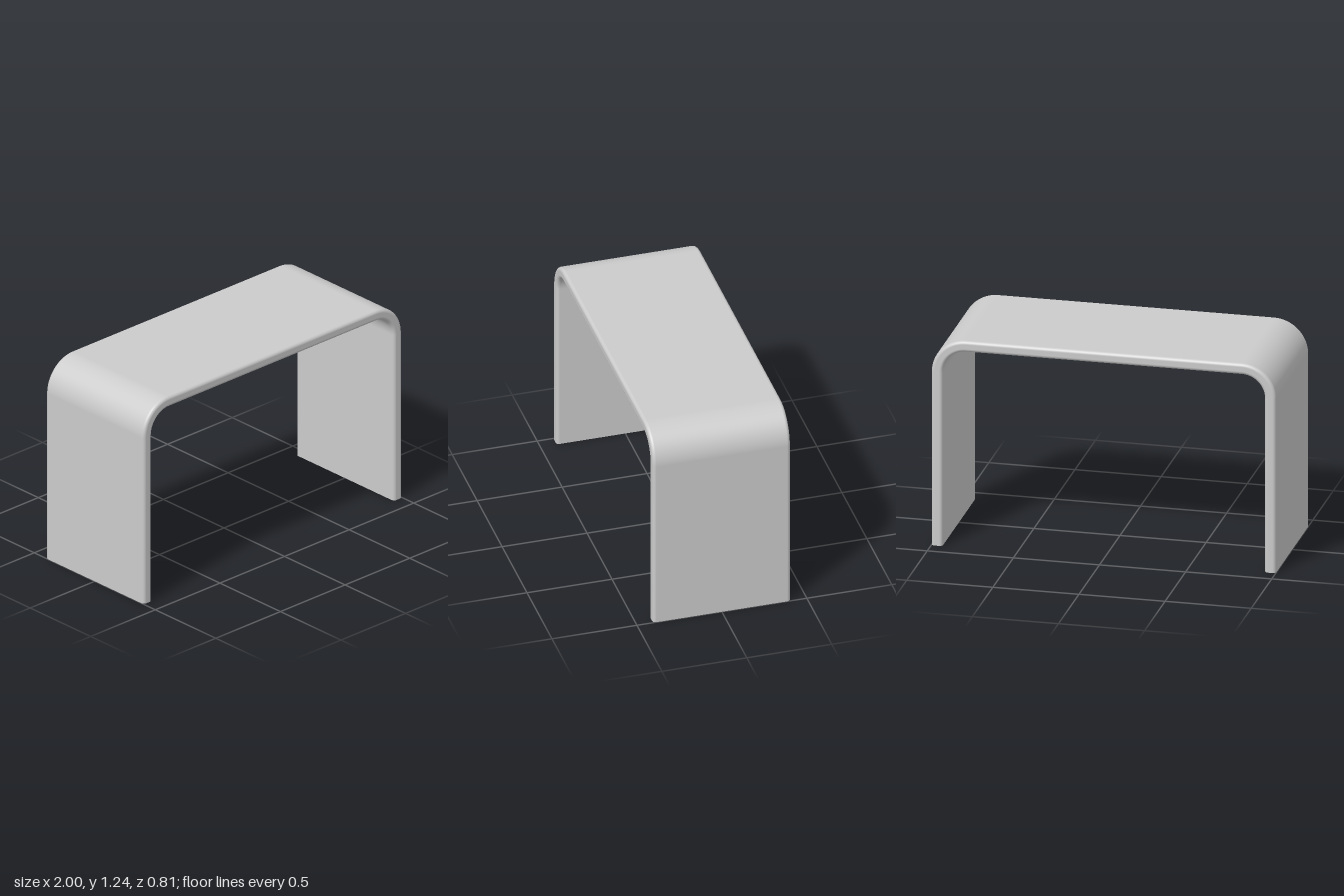
import * as THREE from 'three';

const T = 0.065, DEPTH = 0.81, HEIGHT = 1.24, BEND = 0.2, EDGE = 0.02;

// Rounded-rectangle cross-section: u across the thickness, z along the depth
function section() {
  const pts = [], steps = 6;
  [[1, 1], [-1, 1], [-1, -1], [1, -1]].forEach(([su, sz], k) => {
    for (let i = 0; i <= steps; i++) {
      const a = (k + i / steps) * Math.PI / 2, nu = Math.cos(a), nz = Math.sin(a);
      pts.push({ u: su * (T / 2 - EDGE) + EDGE * nu, z: sz * (DEPTH / 2 - EDGE) + EDGE * nz, nu, nz });
    }
  });
  return pts;
}

// Bend centres and outward angles from the foot of one leg, over the top, to the other
function stations() {
  const cx = 1 - BEND, cy = HEIGHT - BEND, steps = 20, list = [[-cx, 0, Math.PI]];
  for (const side of [-1, 1]) {
    for (let i = 0; i <= steps; i++) {
      const a = (i / steps) * Math.PI / 2;
      list.push([side * cx, cy, (side < 0 ? Math.PI : Math.PI / 2) - a]);
    }
  }
  list.push([cx, 0, 0]);
  return list;
}

function bentPanel(profile) {
  const path = stations(), pos = [], nor = [], idx = [], n = profile.length;
  path.forEach(([cx, cy, a], i) => {
    const c = Math.cos(a), s = Math.sin(a);
    profile.forEach((p, j) => {
      const r = BEND - T / 2 + p.u;
      pos.push(cx + r * c, cy + r * s, p.z);
      nor.push(p.nu * c, p.nu * s, p.nz);
      if (i < path.length - 1) {
        const k = (j + 1) % n, A = i * n + j, B = i * n + k;
        idx.push(A, B, A + n, B, B + n, A + n);
      }
    });
  });
  const geo = new THREE.BufferGeometry();
  geo.setAttribute('position', new THREE.Float32BufferAttribute(pos, 3));
  geo.setAttribute('normal', new THREE.Float32BufferAttribute(nor, 3));
  geo.setIndex(idx);
  return geo;
}

export function createModel() {
  const group = new THREE.Group();
  group.name = 'waterfallBench';
  const material = new THREE.MeshStandardMaterial({ color: 0xcccccc });
  const profile = section();

  // Continuous top and legs
  const panel = new THREE.Mesh(bentPanel(profile), material);
  panel.name = 'bentPanel';
  group.add(panel);

  // Flat undersides of the two legs
  const outline = new THREE.Shape(profile.map(p => new THREE.Vector2(p.u, p.z)));
  const footGeo = new THREE.ShapeGeometry(outline).rotateX(Math.PI / 2);
  for (const side of [-1, 1]) {
    const foot = new THREE.Mesh(footGeo, material);
    foot.name = side > 0 ? 'leftFoot' : 'rightFoot';
    foot.position.x = side * (1 - T / 2);
    group.add(foot);
  }
  return group;
}
